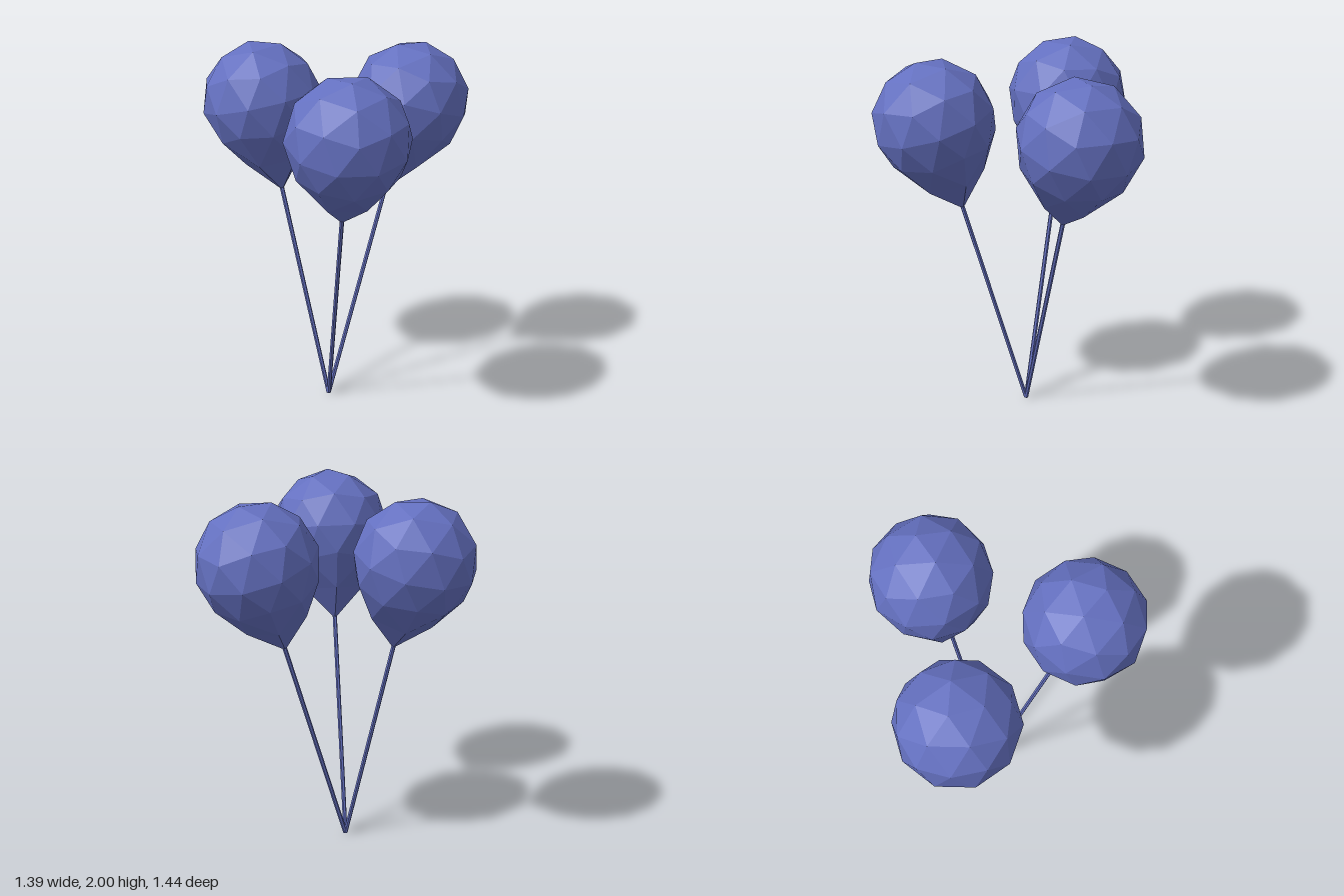
import * as THREE from 'three';

const RADIUS = 0.326;
const UP = new THREE.Vector3(0, 1, 0);

// Low-poly teardrop: an icosphere standing on one vertex, with that vertex drawn down to a tip
function balloonGeometry() {
  const geo = new THREE.IcosahedronGeometry(1, 1);
  geo.rotateX(Math.atan((1 + Math.sqrt(5)) / 2));
  geo.rotateY(THREE.MathUtils.degToRad(-11));
  const pos = geo.attributes.position;
  for (let i = 0; i < pos.count; i++) {
    const y = pos.getY(i);
    if (y < -0.95) pos.setY(i, -1.57);
    else if (y < -0.7) pos.setY(i, -1.03);
  }
  geo.scale(RADIUS, RADIUS, RADIUS);
  geo.computeVertexNormals();
  return geo;
}

export function createModel() {
  const model = new THREE.Group();
  model.name = 'balloonBunch';
  const material = new THREE.MeshStandardMaterial({ color: 0x6470c0, flatShading: true });
  const body = balloonGeometry();

  // All strings meet at one point on the ground
  const base = new THREE.Vector3(0.03, 0, -0.03);
  const centres = {
    right: new THREE.Vector3(-0.385, 1.68, -0.14),
    front: new THREE.Vector3(0.255, 1.672, 0.40),
    back: new THREE.Vector3(0.375, 1.668, -0.41),
  };

  for (const [side, centre] of Object.entries(centres)) {
    const axis = centre.clone().sub(base);
    const length = axis.length();
    const unit = new THREE.Group();
    unit.name = `${side}Balloon`;
    unit.position.copy(base);
    unit.quaternion.setFromUnitVectors(UP, axis.normalize());

    const balloon = new THREE.Mesh(body, material);
    balloon.name = 'balloon';
    balloon.position.y = length;

    // String runs from the ground point up into the tip
    const stringLength = length - RADIUS * 1.54;
    const string = new THREE.Mesh(new THREE.CylinderGeometry(0.012, 0.012, stringLength, 6), material);
    string.name = 'string';
    string.position.y = stringLength / 2 + 0.004;

    unit.add(balloon, string);
    model.add(unit);
  }
  return model;
}
